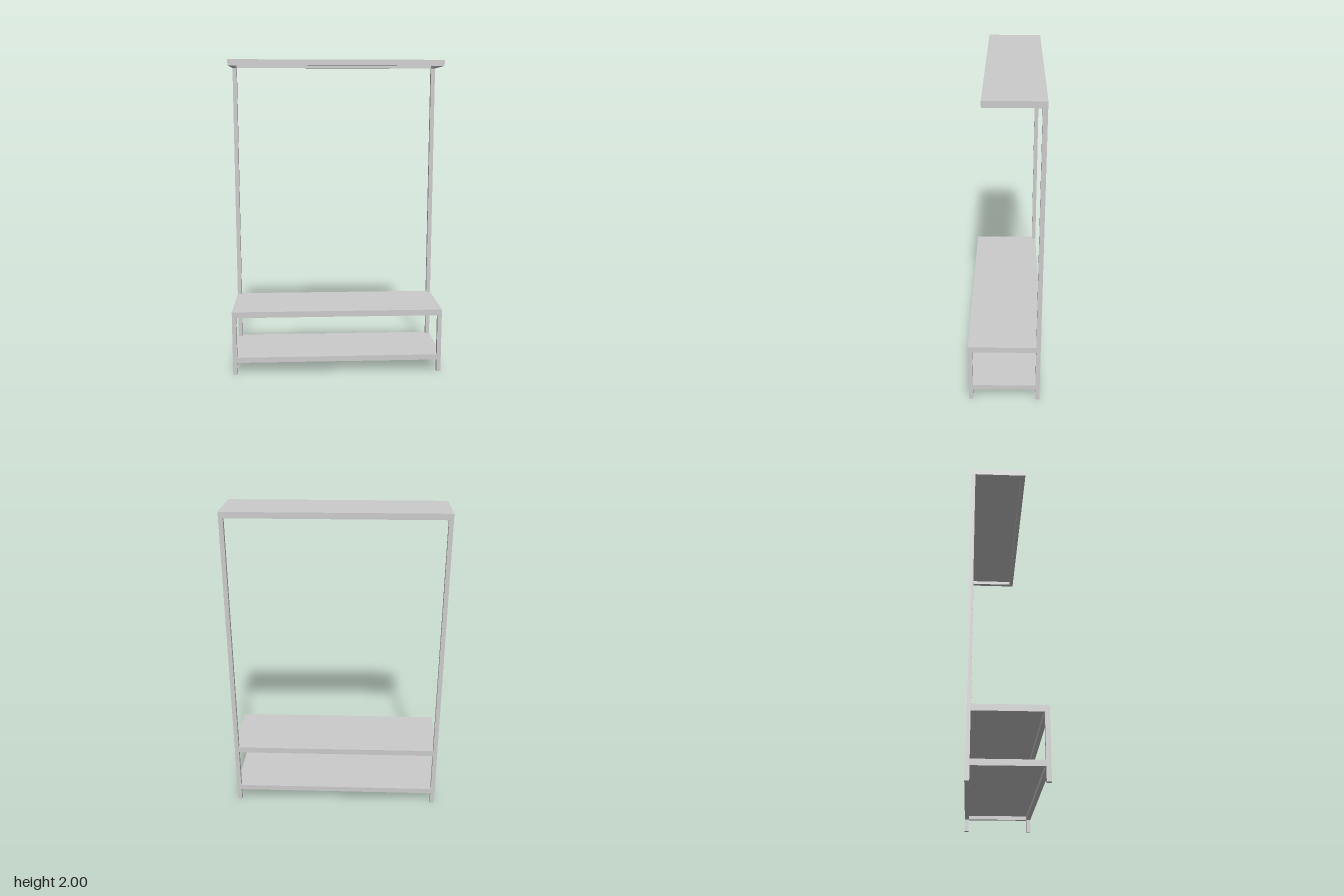
import * as THREE from 'three';

const W = 0.675, D = 0.225, T = 0.027; // half width, half depth, tube size
const material = new THREE.MeshStandardMaterial({ color: 0xcccccc, flatShading: true });

// Box given by its minimum and maximum corners
function bar(parent, name, x0, x1, y0, y1, z0, z1) {
  const mesh = new THREE.Mesh(new THREE.BoxGeometry(x1 - x0, y1 - y0, z1 - z0), material);
  mesh.position.set((x0 + x1) / 2, (y0 + y1) / 2, (z0 + z1) / 2);
  mesh.name = name;
  parent.add(mesh);
}

// Flat board with corners cut out around the posts
function board(parent, name, y0, y1, notchFront) {
  const i = W - T, b = D - T;
  const points = [[-i, -D], [i, -D], [i, -b], [W, -b]];
  if (notchFront) points.push([W, b], [i, b], [i, D], [-i, D], [-i, b], [-W, b]);
  else points.push([W, D], [-W, D]);
  points.push([-W, -b], [-i, -b]);
  // shape y becomes -z once the board is laid flat
  const shape = new THREE.Shape(points.map(([x, z]) => new THREE.Vector2(x, -z)));
  const geometry = new THREE.ExtrudeGeometry(shape, { depth: y1 - y0, bevelEnabled: false });
  geometry.rotateX(-Math.PI / 2);
  const mesh = new THREE.Mesh(geometry, material);
  mesh.position.y = y0;
  mesh.name = name;
  parent.add(mesh);
}

// Four rails fitted between the corner posts
function railFrame(parent, name, y0, y1) {
  const frame = new THREE.Group();
  frame.name = name;
  bar(frame, 'backRail', -W + T, W - T, y0, y1, -D, -D + T);
  bar(frame, 'frontRail', -W + T, W - T, y0, y1, D - T, D);
  for (const x of [-W, W - T]) bar(frame, 'sideRail', x, x + T, y0, y1, -D + T, D - T);
  parent.add(frame);
}

export function createModel() {
  const model = new THREE.Group();
  model.name = 'hallStand';

  // Tall back posts and short front legs
  for (const [side, x] of [['right', -W], ['left', W - T]]) {
    bar(model, side + 'BackPost', x, x + T, 0, 1.963, -D, -D + T);
    bar(model, side + 'FrontLeg', x, x + T, 0, 0.405, D - T, D);
  }

  // Bench seat and lower shoe shelf
  railFrame(model, 'seatFrame', 0.38, 0.405);
  board(model, 'seat', 0.405, 0.418, false);
  railFrame(model, 'shoeShelfFrame', 0.08, 0.105);
  board(model, 'shoeShelf', 0.105, 0.115, true);

  // Top shelf: board over a rail frame, open underneath
  const top = new THREE.Group();
  top.name = 'topShelf';
  const front = 0.117, low = 1.963, mid = 1.988;
  bar(top, 'topBoard', -W, W, mid, 2, -D, front);
  bar(top, 'topBackRail', -W, W, low, mid, -D, -D + T);
  bar(top, 'topFrontRail', -W, W, low, mid, front - T, front);
  for (const x of [-W, W - T]) bar(top, 'topSideRail', x, x + T, low, mid, -D + T, front - T);
  model.add(top);

  return model;
}
